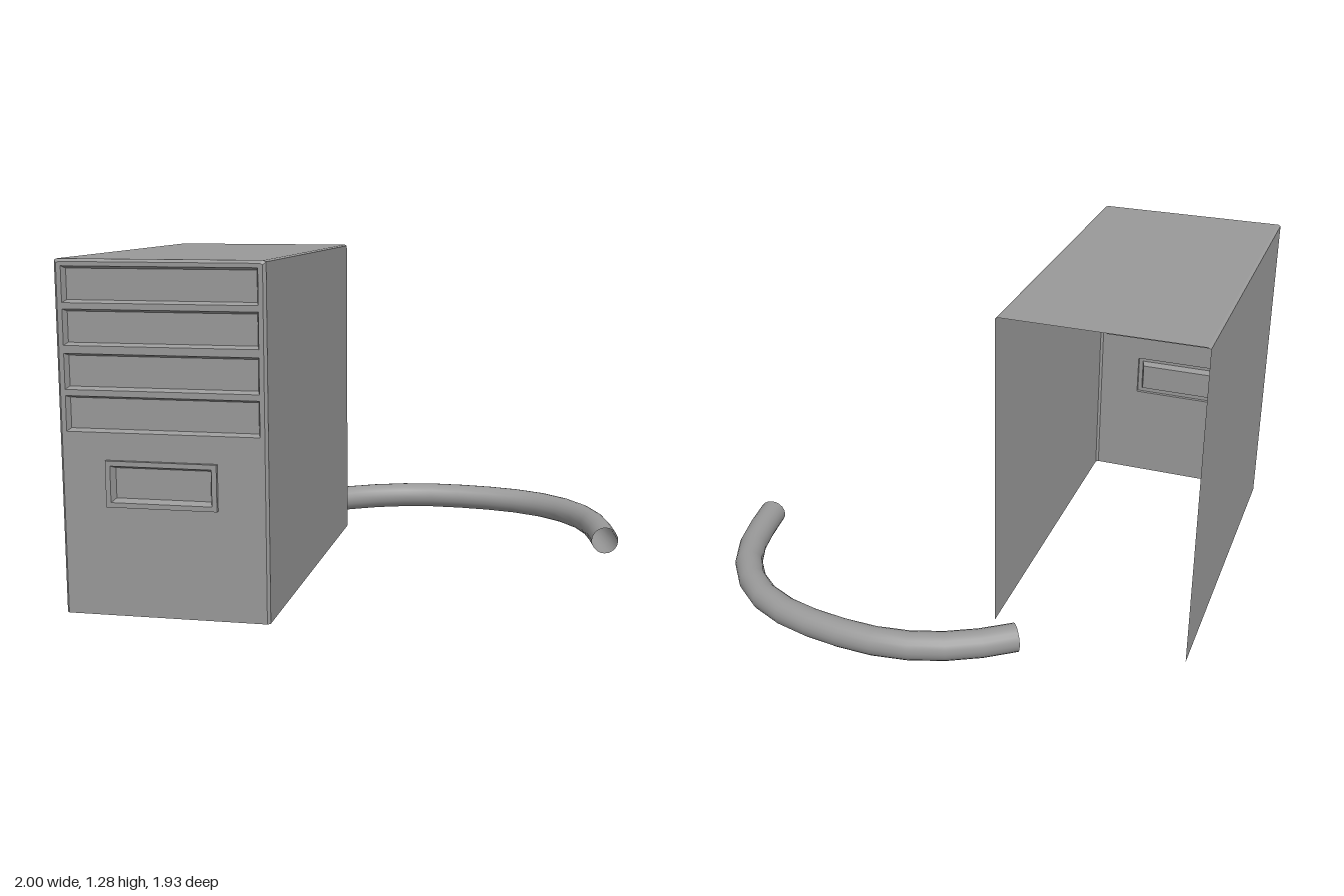
import * as THREE from 'three';

const W = 0.381, H = 1.279, D = 0.6965, C = 0.01; // case half width, height, half depth, chamfer

const material = new THREE.MeshStandardMaterial({ color: 0x999999, side: THREE.DoubleSide });

function addMesh(parent, name, geometry) {
  const mesh = new THREE.Mesh(geometry, material);
  mesh.name = name;
  parent.add(mesh);
  return mesh;
}

// Joins cross-sections (arrays of [x, y, z]) with hard-edged quads.
function loft(rings, closed) {
  const pos = [];
  for (let i = 0; i + 1 < rings.length; i++) {
    const a = rings[i], b = rings[i + 1], n = a.length;
    for (let j = 0; j < (closed ? n : n - 1); j++) {
      const k = (j + 1) % n;
      pos.push(...a[j], ...a[k], ...b[k], ...a[j], ...b[k], ...b[j]);
    }
  }
  if (closed) { // flat floor over the last ring
    const [p, q, r, s] = rings[rings.length - 1];
    pos.push(...p, ...q, ...r, ...p, ...r, ...s);
  }
  const g = new THREE.BufferGeometry();
  g.setAttribute('position', new THREE.Float32BufferAttribute(pos, 3));
  g.computeVertexNormals();
  return g;
}

// Rectangle corners, counter-clockwise seen from the front.
const rect = (x, y, hw, hh, z) => [
  [x - hw, y - hh, z], [x + hw, y - hh, z], [x + hw, y + hh, z], [x - hw, y + hh, z],
];

// Case outline: right wall, chamfered top, left wall, open at the bottom.
function outline(inset, z) {
  const w = W - inset, h = H - inset, c = C / 2;
  return [[w, 0, z], [w, h - c, z], [w - C, h, z], [-w + C, h, z], [-w, h - c, z], [-w, 0, z]];
}

export function createModel() {
  const model = new THREE.Group();
  model.name = 'computerTowerWithCable';

  const tower = new THREE.Group();
  tower.name = 'tower';
  tower.position.set(-0.557, 0, 0.2335);
  tower.rotation.y = 0.09;
  model.add(tower);

  // Sheet cover with a chamfered front edge, open at the back and bottom
  addMesh(tower, 'caseCover', loft([outline(0, -D), outline(0, D - C), outline(C, D)], false));

  // Front panel with openings for the bays and the badge
  const bays = [1.19, 1.04, 0.884, 0.734].map((y) => ({ x: 0, y, hw: 0.354, hh: 0.064 }));
  const badge = { x: -0.005, y: 0.487, hw: 0.204, hh: 0.084 };
  const panel = new THREE.Shape(outline(C, D).map(([x, y]) => new THREE.Vector2(x, y)));
  for (const { x, y, hw, hh } of [...bays, badge]) {
    panel.holes.push(new THREE.Path(rect(x, y, hw, hh, 0).map(([px, py]) => new THREE.Vector2(px, py))));
  }
  addMesh(tower, 'frontPanel', new THREE.ShapeGeometry(panel)).position.z = D;

  // Recessed drive bays with sloping rims
  bays.forEach(({ x, y, hw, hh }, i) => {
    addMesh(tower, 'driveBay' + (i + 1), loft([
      rect(x, y, hw, hh, D),
      rect(x, y, hw - 0.009, hh - 0.009, D - 0.024),
    ], true));
  });

  // Raised badge frame around a shallow pocket
  const { x, y, hw, hh } = badge;
  addMesh(tower, 'badgeFrame', loft([
    rect(x, y, hw, hh, D),
    rect(x, y, hw, hh, D + 0.015),
    rect(x, y, hw - 0.018, hh - 0.018, D + 0.015),
    rect(x, y, hw - 0.029, hh - 0.029, D - 0.014),
  ], true));

  // Hollow cable lying in an arc behind the tower
  const path = [
    [-0.402, -0.649], [-0.28, -0.754], [-0.14, -0.837], [0.02, -0.892], [0.22, -0.91], [0.4, -0.899],
    [0.53, -0.869], [0.65, -0.812], [0.755, -0.722], [0.84, -0.605], [0.9, -0.45], [0.944, -0.287],
  ].map(([px, pz]) => new THREE.Vector3(px, 0.07, pz));
  addMesh(model, 'cable', new THREE.TubeGeometry(new THREE.CatmullRomCurve3(path), 13, 0.055, 20));

  return model;
}
